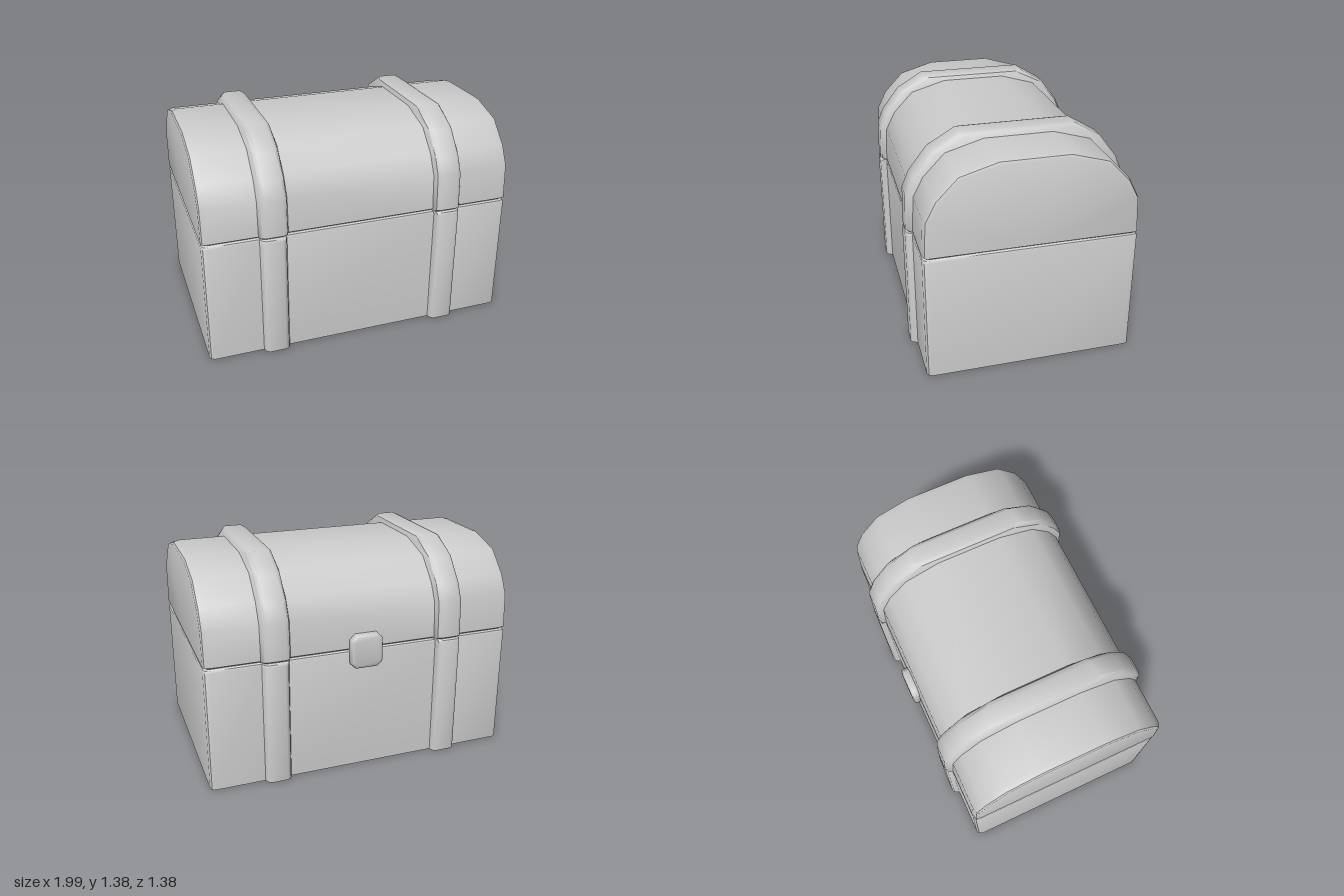
import * as THREE from 'three';
import { toCreasedNormals } from 'three/addons/utils/BufferGeometryUtils.js';

const material = new THREE.MeshStandardMaterial({ color: 0xcccccc, side: THREE.DoubleSide });

// Skin a list of equal-length point rows
function loft(rows, crease = 0.75) {
  const n = rows[0].length, index = [];
  for (let r = 0; r < rows.length - 1; r++) {
    for (let i = 0; i < n - 1; i++) {
      const a = r * n + i, b = a + n;
      index.push(a, b, a + 1, b, b + 1, a + 1);
    }
  }
  const g = new THREE.BufferGeometry();
  g.setAttribute('position', new THREE.Float32BufferAttribute(rows.flat(2), 3));
  g.setIndex(index);
  return toCreasedNormals(g, crease);
}

function part(name, geometry) {
  const mesh = new THREE.Mesh(geometry, material);
  mesh.name = name;
  return mesh;
}

// Base: plan outline with strap ridges, raised to the seam, open underneath
function baseGeometry() {
  const quarter = [
    [0.993, 0], [0.993, 0.612], [0.984, 0.636], [0.96, 0.646], [0.65, 0.646], [0.637, 0.676],
    [0.617, 0.686], [0.515, 0.686], [0.494, 0.676], [0.482, 0.646],
  ];
  const half = [...quarter, ...quarter.slice().reverse().map(([x, z]) => [-x, z])];
  const plan = [...half, ...half.slice(1, -1).reverse().map(([x, z]) => [x, -z]), half[0]];
  const levels = [[0, 0], [0.775, 0], [0.788, 0.005], [0.795, 0.02]]; // height, inset
  return loft(levels.map(([y, d]) => plan.map(([x, z]) => [x * (1 - d), y, z * (1 - d * 1.5)])));
}

// Lid: domed profile swept along x, swelling at the two straps, capped at the ends
function lidGeometry() {
  const body = [[0.627, 0.795], [0.645, 0.808], [0.632, 1.03], [0.57, 1.15], [0.44, 1.285], [0.21, 1.352]];
  const strap = [[0.665, 0.795], [0.683, 0.808], [0.675, 1.04], [0.632, 1.14], [0.52, 1.285], [0.35, 1.385]];
  // x, strap amount, inset toward the axis
  const side = [
    [0.993, 0, 0.045], [0.985, 0, 0.018], [0.95, 0, 0], [0.655, 0, 0], [0.638, 0.75, 0], [0.617, 1, 0],
    [0.51, 1, 0], [0.485, 0.75, 0], [0.472, 0, 0],
  ];
  const section = (x, t, inset) => {
    const right = body.map(([z, y], i) => {
      const pz = THREE.MathUtils.lerp(z, strap[i][0], t) * (1 - inset * 0.9);
      const py = THREE.MathUtils.lerp(y, strap[i][1], t);
      return [i === 0 && inset ? x * 0.985 : x, 0.795 + (py - 0.795) * (1 - inset), pz];
    });
    return [...right, ...right.slice().reverse().map(([px, py, pz]) => [px, py, -pz])];
  };
  const stations = [...side.map(([x, t, d]) => [-x, t, d]), ...side.slice().reverse()];
  const rows = stations.map((s) => section(...s));
  const cap = (x) => rows[0].map(() => [x, 0.808, 0]);
  return loft([cap(-0.993), ...rows, cap(0.993)]);
}

// Latch: small bevelled plate across the seam on the back
function latchGeometry() {
  const w = 0.08, h = 0.085, c = 0.02;
  const shape = new THREE.Shape([
    [w - c, -h], [w, c - h], [w, h - c], [w - c, h], [c - w, h], [-w, h - c], [-w, c - h], [c - w, -h],
  ].map(([x, y]) => new THREE.Vector2(x, y)));
  const g = new THREE.ExtrudeGeometry(shape, {
    depth: 0.03, bevelThickness: 0.02, bevelSize: 0.024, bevelSegments: 2,
  });
  g.translate(-0.005, 0.79, -0.67);
  return toCreasedNormals(g, 0.8);
}

export function createModel() {
  const chest = new THREE.Group();
  chest.name = 'chest';
  chest.add(
    part('base', baseGeometry()),
    part('lid', lidGeometry()),
    part('latch', latchGeometry()),
  );
  return chest;
}
